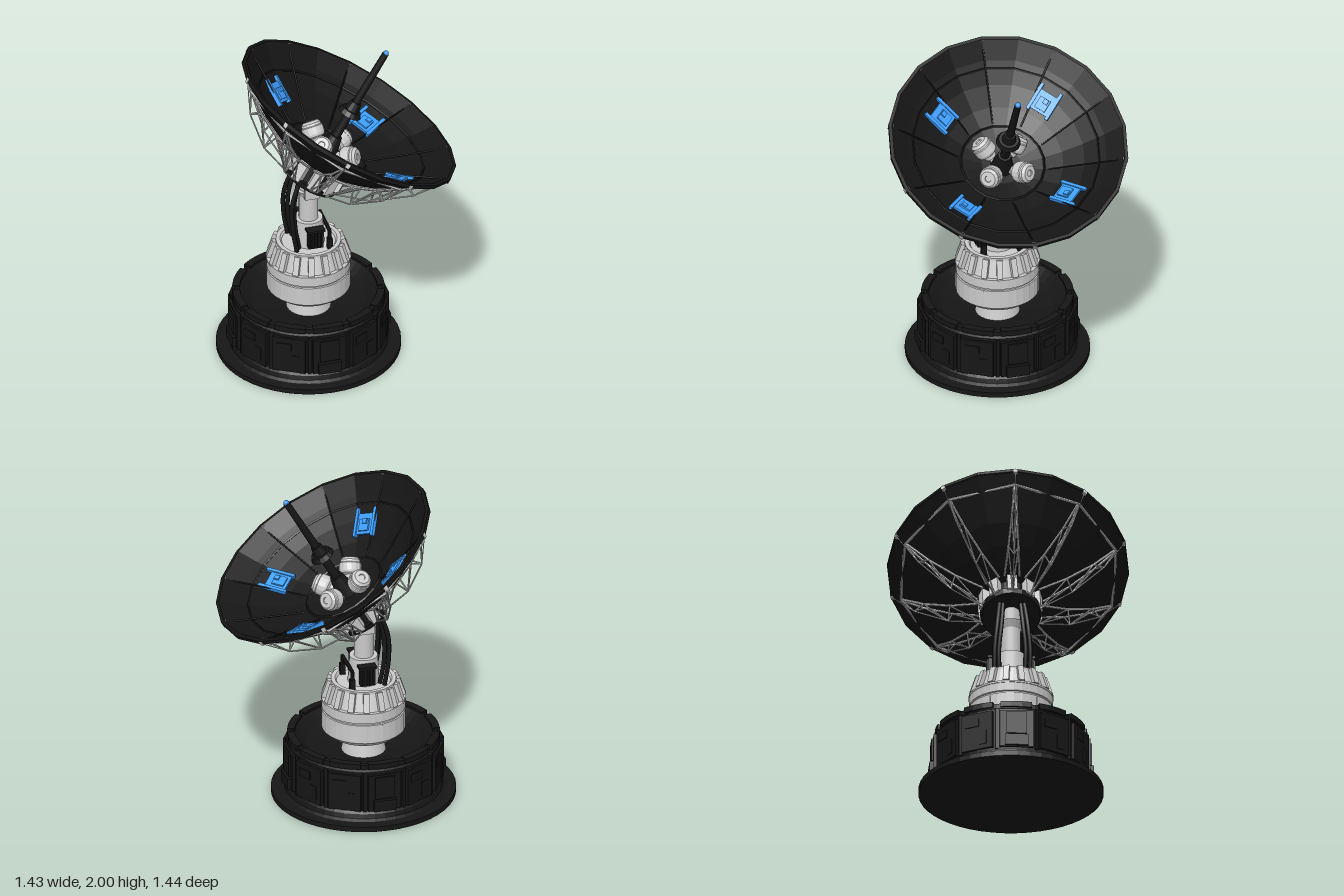
import * as THREE from 'three';

const mat = (color, flatShading = true) =>
  new THREE.MeshStandardMaterial({ color, flatShading, side: THREE.DoubleSide });
const grey = mat(0xcccccc), black = mat(0x161616), blue = mat(0x3d9fff);
const smoothGrey = mat(0xcccccc, false), smoothBlack = mat(0x161616, false);
const V = (x, y, z) => new THREE.Vector3(x, y, z);

function add(parent, name, geo, material, x = 0, y = 0, z = 0) {
  const m = new THREE.Mesh(geo, material);
  m.name = name;
  m.position.set(x, y, z);
  parent.add(m);
  return m;
}
function group(parent, name, x = 0, y = 0, z = 0) {
  const g = new THREE.Group();
  g.name = name;
  g.position.set(x, y, z);
  parent.add(g);
  return g;
}
const box = (w, h, d) => new THREE.BoxGeometry(w, h, d);
const cyl = (rt, rb, h, n = 24) => new THREE.CylinderGeometry(rt, rb, h, n);
const lathe = (pts, n) => new THREE.LatheGeometry(pts.map(p => new THREE.Vector2(p[0], p[1])), n);

// Bar between two points
function strut(parent, name, a, b, r, material = grey) {
  const m = add(parent, name, cyl(r, r, a.distanceTo(b), 6), material);
  m.position.copy(a).add(b).multiplyScalar(0.5);
  m.quaternion.setFromUnitVectors(V(0, 1, 0), b.clone().sub(a).normalize());
  return m;
}
// Calls fn with a group turned to each of n directions; local +x points outwards
function radial(parent, name, n, offset, fn) {
  for (let i = 0; i < n; i++) {
    const g = group(parent, name);
    g.rotation.y = offset + i * Math.PI * 2 / n;
    fn(g, i);
  }
}

function buildBase(root) {
  const base = group(root, 'base', -0.17, 0, 0);
  add(base, 'drum', lathe([[0, 0], [0.55, 0], [0.55, 0.032], [0.49, 0.036], [0.472, 0.048], [0.465, 0.075],
    [0.455, 0.09], [0.455, 0.35], [0.44, 0.36], [0.44, 0.39], [0.42, 0.395], [0.39, 0.37], [0.34, 0.33],
    [0.15, 0.28], [0, 0.28]], 48), black);
  // Rim segments around the top edge
  radial(base, 'rimSegment', 12, 0, g => {
    for (const a of [-0.14, 0, 0.14]) {
      const s = group(g, 'rimBlock');
      s.rotation.y = a;
      add(s, 'rimCap', box(0.045, 0.034, 0.064), black, 0.43, 0.383, 0);
    }
  });
  // Wall panels, alternately plain and with equipment
  radial(base, 'wallPanel', 12, 0, (g, i) => {
    add(g, 'panel', box(0.03, 0.235, 0.2), black, 0.452, 0.215, 0);
    add(g, 'seam', box(0.03, 0.26, 0.02), black, 0.45 * Math.cos(0.26), 0.22, 0.45 * Math.sin(0.26));
    if (i % 3 === 0) {
      add(g, 'lowerBox', box(0.03, 0.07, 0.14), black, 0.474, 0.135, 0);
      add(g, 'hatch', box(0.02, 0.14, 0.12), black, 0.468, 0.25, 0);
    } else {
      add(g, 'vent', box(0.02, 0.05, 0.09), black, 0.463, 0.27, 0.03);
      add(g, 'plate', box(0.014, 0.09, 0.05), black, 0.464, 0.17, -0.04);
    }
  });
  add(base, 'pedestal', cyl(0.105, 0.135, 0.14), smoothGrey, 0, 0.34, 0);
}

function buildTurret(root) {
  const t = group(root, 'turret', -0.17, 0, 0);
  add(t, 'turretBody', lathe([[0, 0.4], [0.21, 0.4], [0.25, 0.435], [0.25, 0.553], [0.242, 0.556], [0.242, 0.564],
    [0.25, 0.567], [0.25, 0.618], [0.23, 0.63], [0.195, 0.735], [0.195, 0.75], [0.17, 0.75], [0.16, 0.735], [0, 0.735]], 32), grey);
  add(t, 'turretBand', cyl(0.253, 0.253, 0.012, 32), grey, 0, 0.625, 0);
  radial(t, 'turretRib', 16, Math.PI / 16, g => {
    const rib = add(g, 'rib', box(0.03, 0.115, 0.036), grey, 0.22, 0.688, 0);
    rib.rotation.z = 0.32;
  });
  radial(t, 'bandPlate', 8, 0, g => add(g, 'plate', box(0.02, 0.1, 0.1), grey, 0.236, 0.495, 0));

  // Column that carries the dish
  add(t, 'columnFoot', cyl(0.085, 0.095, 0.17, 20), smoothGrey, 0, 0.82, 0);
  add(t, 'column', cyl(0.058, 0.058, 0.5, 20), smoothGrey, 0, 0.96, 0);
  add(t, 'columnCollar', cyl(0.085, 0.06, 0.05, 20), grey, 0.005, 1.09, 0);
  for (const s of [-1, 1]) add(t, 'headBracket', box(0.09, 0.14, 0.025), grey, 0, 1.15, s * 0.075);

  // Cables on the back of the column
  for (const s of [-1, 1]) for (const k of [0, 1]) {
    const curve = new THREE.CatmullRomCurve3([V(-0.08 - k * 0.02, 0.74, s * (0.075 + k * 0.03)),
      V(-0.105 - k * 0.02, 0.9, s * (0.08 + k * 0.025)), V(-0.105 - k * 0.02, 1.06, s * (0.065 + k * 0.025)),
      V(-0.06, 1.25, s * (0.05 + k * 0.02))]);
    add(t, 'cable', new THREE.TubeGeometry(curve, 16, 0.014, 8), smoothBlack);
  }
  // Control boxes on both sides
  for (const s of [-1, 1]) {
    const c = group(t, 'controlBox', 0.01, 0.82, s * 0.115);
    add(c, 'case', box(0.09, 0.12, 0.04), black);
    for (let i = 0; i < 4; i++) add(c, 'slat', box(0.008, 0.1, 0.012), black, -0.03 + i * 0.02, 0, s * 0.024);
    add(c, 'caseTop', box(0.11, 0.014, 0.055), black, 0, 0.06, 0);
  }
  // Handrail
  const corners = [V(0.1, 0.74, -0.11), V(0.1, 0.855, -0.11), V(0.1, 0.855, 0.11), V(0.1, 0.74, 0.11)];
  for (let i = 0; i < 3; i++) strut(t, 'handrail', corners[i], corners[i + 1], 0.012, black);
  for (const s of [-1, 1]) add(t, 'railPost', box(0.03, 0.07, 0.03), black, 0.1, 0.77, s * 0.11);
}

// Dish depth at radius r, outer and inner skin
const outer = r => -0.37 * (1 - (r / 0.72) ** 2);
const inner = r => -0.31 * (1 - (r / 0.70) ** 2);

function buildTruss(g) {
  const chord = [V(0.71, -0.03, 0), V(0.583, -0.22, 0), V(0.38, -0.4, 0), V(0.18, -0.49, 0)];
  for (let i = 0; i < 3; i++) strut(g, 'outerChord', chord[i], chord[i + 1], i === 0 ? 0.003 : 0.005);
  const radii = [0.66, 0.52, 0.36, 0.19], spread = [0.005, 0.015, 0.03, 0.045];
  for (const s of [-1, 1]) {
    const p = radii.map((r, i) => V(r, outer(r) - 0.015, s * spread[i]));
    for (let i = 0; i < 3; i++) strut(g, 'innerChord', p[i], p[i + 1], 0.008);
    for (const [a, b] of [[1, 0], [1, 1], [2, 1], [2, 2], [3, 2]]) strut(g, 'brace', chord[a], p[b], 0.005);
  }
  add(g, 'rimClip', box(0.03, 0.03, 0.025), grey, 0.705, -0.02, 0);
  add(g, 'hubBracket', box(0.05, 0.14, 0.06), grey, 0.165, -0.41, 0);
}

function buildPanel(g) {
  const p = group(g, 'bluePanel', 0.44, -0.172, 0);
  p.rotation.z = 0.46;
  add(p, 'plate', box(0.13, 0.016, 0.12), blue);
  for (const s of [-1, 1]) add(p, 'rail', box(0.18, 0.024, 0.02), blue, 0.01, 0.004, s * 0.065);
  add(p, 'cover', box(0.075, 0.014, 0.07), blue, -0.01, 0.012, 0);
  add(p, 'latch', box(0.03, 0.014, 0.03), blue, 0.01, 0.022, 0.01);
}

function buildDish(root) {
  const dish = group(root, 'dish', 0.085, 1.6, 0);
  dish.rotation.z = -Math.PI / 6;
  const steps = [0.12, 0.24, 0.36, 0.48, 0.6];
  add(dish, 'reflector', lathe([[0, outer(0)], ...steps.map(r => [r, outer(r)]), [0.71, -0.03], [0.72, -0.025], [0.72, 0],
    [0.7, 0], ...steps.slice().reverse().map(r => [r, inner(r)]), [0, inner(0)]], 20), black);
  // Raised rings and seams inside
  for (const r of [0.25, 0.56]) {
    const ring = add(dish, 'innerRing', new THREE.TorusGeometry(r, 0.008, 4, 20), black, 0, inner(r) + 0.004, 0);
    ring.rotation.x = Math.PI / 2;
  }
  radial(dish, 'innerSeam', 10, 0, g =>
    strut(g, 'seam', V(0.27, inner(0.27), 0), V(0.66, inner(0.66) - 0.002, 0), 0.005, black));

  // Hub behind the reflector
  add(dish, 'hub', cyl(0.15, 0.15, 0.16, 20), black, 0, -0.41, 0);
  add(dish, 'hubPlate', cyl(0.185, 0.175, 0.035, 20), black, 0, -0.485, 0);
  radial(dish, 'trussRib', 10, 0, buildTruss);
  const ringPoint = a => V(0.66 * Math.cos(a), -0.08, 0.66 * Math.sin(a));
  for (let i = 0; i < 10; i++)
    strut(dish, 'trussRing', ringPoint(i * Math.PI / 5), ringPoint((i + 1) * Math.PI / 5), 0.009);

  radial(dish, 'panelMount', 4, Math.PI / 4, buildPanel);

  // Feed pods around the mast
  radial(dish, 'feedPod', 4, Math.PI / 4, g => {
    const pod = group(g, 'pod', 0.135, -0.235, 0);
    pod.rotation.z = -0.9;
    add(pod, 'podBody', lathe([[0, -0.07], [0.035, -0.07], [0.04, -0.045], [0.06, -0.035], [0.066, -0.02], [0.066, 0.025],
      [0.06, 0.03], [0.06, 0.045], [0.045, 0.06], [0.02, 0.06], [0.018, 0.054], [0, 0.054]], 16), grey);
    strut(g, 'podArm', V(0.1, -0.26, 0), V(0.03, -0.31, 0), 0.025);
  });

  // Central mast
  add(dish, 'mastFoot', cyl(0.04, 0.07, 0.14, 16), black, 0, -0.24, 0);
  add(dish, 'mast', cyl(0.02, 0.029, 0.75, 12), smoothBlack, 0, 0.065, 0);
  add(dish, 'mastDisc', cyl(0.06, 0.075, 0.03, 16), black, 0, 0.01, 0);
  add(dish, 'mastSleeve', cyl(0.032, 0.045, 0.06, 12), black, 0, 0.05, 0);
  add(dish, 'mastTip', new THREE.SphereGeometry(0.018, 12, 8), blue, 0, 0.443, 0);
}

export function createModel() {
  const root = new THREE.Group();
  root.name = 'dishAntenna';
  buildBase(root);
  buildTurret(root);
  buildDish(root);
  return root;
}
